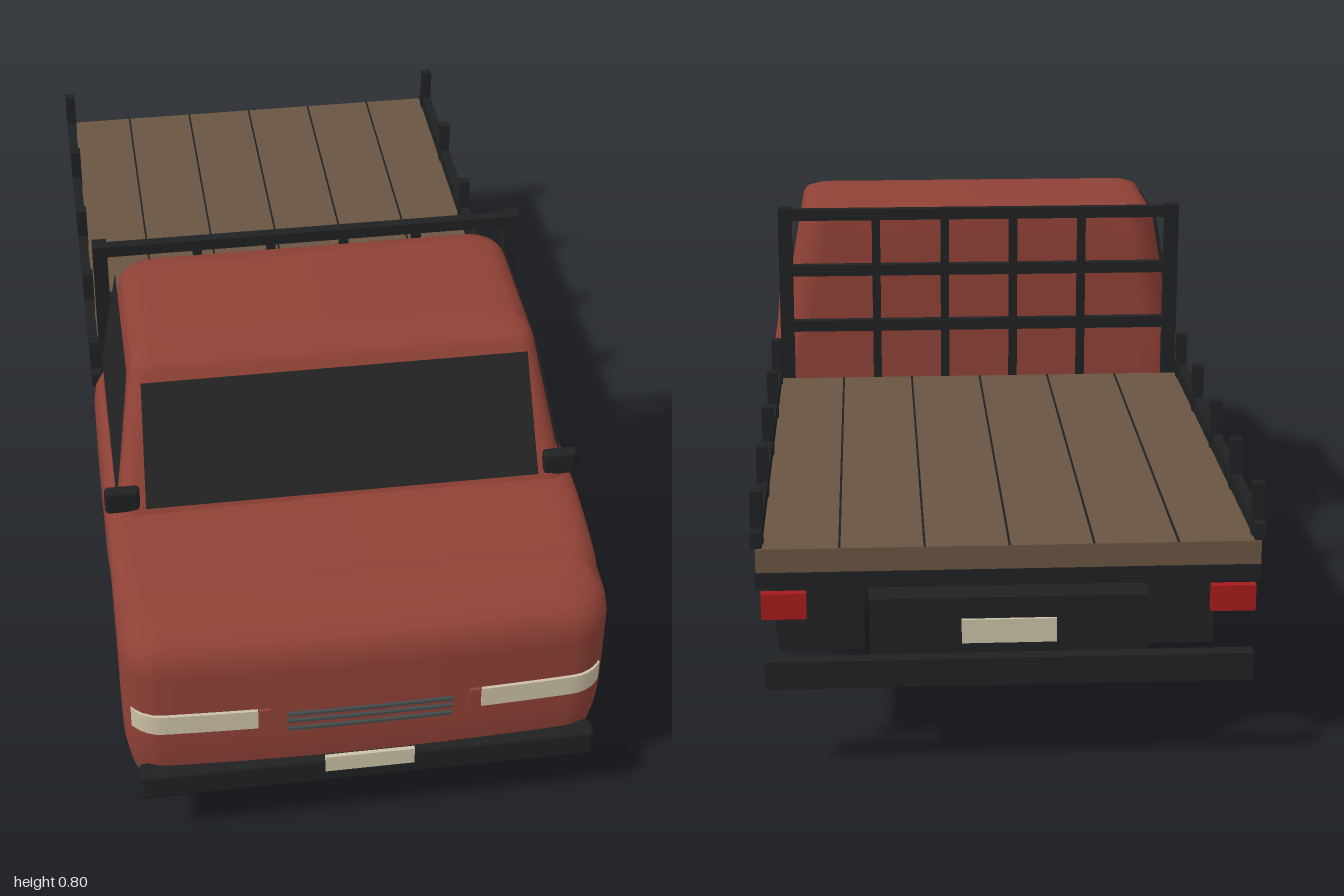
import * as THREE from 'three';
import { RoundedBoxGeometry } from 'three/addons/geometries/RoundedBoxGeometry.js';

const mat = (name, color, side = THREE.FrontSide) => {
  const m = new THREE.MeshStandardMaterial({ color, side });
  m.name = name;
  return m;
};

const ARCH = { z: 0.64, y: 0.165, r: 0.19 };
const BOW = 0.015;
const lerp = THREE.MathUtils.lerp;
const clamp = THREE.MathUtils.clamp;

// Columns along the flank, bunched so the wheel arch is cut cleanly
const columns = [];
for (let i = 0; i <= 12; i++) columns.push(lerp(0.15, 0.4495, i / 12));
for (let i = 0; i <= 18; i++) columns.push(ARCH.z - (ARCH.r - 0.0003) * Math.cos((Math.PI * i) / 18));
columns.push(0.8305, 0.85, 0.88, 0.92);

// Rounded plan outline: back centre, left flank, front centre, right flank
function planRing({ w, zb, zf, rb, rf, bow = 0 }) {
  rb = Math.min(rb, w);
  rf = Math.min(rf, w);
  const half = [];
  for (let i = 0; i < 4; i++) half.push([((w - rb) * i) / 4, zb]);
  for (let i = 0; i < 6; i++) {
    const a = (Math.PI / 2) * (i / 6);
    half.push([w - rb + rb * Math.sin(a), zb + rb - rb * Math.cos(a)]);
  }
  for (const z of columns) half.push([w, clamp(z, zb + rb, zf - rf)]);
  for (let i = 1; i <= 6; i++) {
    const a = (Math.PI / 2) * (i / 6);
    half.push([w - rf + rf * Math.cos(a), zf - rf + rf * Math.sin(a)]);
  }
  for (let i = 1; i <= 6; i++) half.push([(w - rf) * (1 - i / 6), zf]);
  const bowed = half.map(([x, z]) => [x, z - (w > 0 ? bow * (x / w) ** 2 * clamp((z - 0.85) / 0.1, 0, 1) : 0)]);
  const mirrored = bowed.slice(1, -1).reverse().map(([x, z]) => [-x, z]);
  return [...bowed, ...mirrored];
}

// Skin stacked rings; isSecond picks the faces given the second material
function loft(rows, heightAt, isSecond = () => false) {
  const pos = [], first = [], second = [];
  let n = 0;
  for (const row of rows) {
    const ring = planRing(row);
    n = ring.length;
    for (const [x, z] of ring) pos.push(x, heightAt(row, z), z);
  }
  for (let i = 0; i < rows.length - 1; i++) {
    for (let j = 0; j < n; j++) {
      const k = (j + 1) % n;
      const a = i * n + j, b = i * n + k, c = a + n, d = b + n;
      const y = (pos[a * 3 + 1] + pos[d * 3 + 1]) / 2;
      const z = (pos[a * 3 + 2] + pos[d * 3 + 2]) / 2;
      (isSecond(y, z) ? second : first).push(a, c, d, a, d, b);
    }
  }
  const g = new THREE.BufferGeometry();
  g.setAttribute('position', new THREE.Float32BufferAttribute(pos, 3));
  g.setIndex([...first, ...second]);
  g.addGroup(0, first.length, 0);
  g.addGroup(first.length, second.length, 1);
  g.computeVertexNormals();
  return g;
}

export function createModel() {
  const root = new THREE.Group();
  root.name = 'flatbedTruck';
  const paint = mat('red paint', 0x8f4136, THREE.DoubleSide);
  const dirt = mat('dried mud', 0x66543c, THREE.DoubleSide);
  const wood = mat('wood', 0x6a5541);
  const dark = mat('dark metal', 0x1f2122);
  const glass = mat('dark glass', 0x242424, THREE.DoubleSide);
  const rubber = mat('rubber', 0x222222);
  const steel = mat('wheel steel', 0x565656);
  const cream = mat('cream', 0xcbc1a6);
  const tail = mat('tail light red', 0xa51a1a);
  const trim = mat('grille grey', 0x444a4a);

  const add = (name, geo, material, parent = root) => {
    const m = new THREE.Mesh(geo, material);
    m.name = name;
    parent.add(m);
    return m;
  };
  // Box given by its limits
  const box = (name, material, x0, x1, y0, y1, z0, z1, round = 0) => {
    const s = [Math.abs(x1 - x0), y1 - y0, Math.abs(z1 - z0)];
    const g = round ? new RoundedBoxGeometry(...s, 2, round) : new THREE.BoxGeometry(...s);
    g.translate((x0 + x1) / 2, (y0 + y1) / 2, (z0 + z1) / 2);
    return add(name, g, material);
  };

  // Lower cab body with hood and wheel arches
  const rows = [];
  const plan = { zb: 0.14, rb: 0.06, rf: 0.07, bow: BOW };
  for (let i = 0; i <= 14; i++) {
    const v = (i / 14) * 0.84, low = (1 - Math.min(v / 0.4, 1)) ** 2;
    rows.push({ ...plan, v, w: 0.456 - 0.021 * low, zf: 0.987 - 0.02 * low });
  }
  for (const [v, w, zf] of [[0.91, 0.452, 0.98], [0.96, 0.441, 0.965], [0.99, 0.424, 0.94], [1, 0.4, 0.915], [1.015, 0.2, 0.9], [1.02, 0, 0.89]])
    rows.push({ ...plan, v, w, zf });
  const sill = (z) => {
    const d = Math.abs(z - ARCH.z);
    return d < ARCH.r ? ARCH.y + Math.sqrt(ARCH.r ** 2 - d * d) : 0.12;
  };
  const shoulder = (z) => 0.505 + 0.027 * clamp((0.97 - z) / 0.3, 0, 1);
  const mudLine = (z) => (z > 0.94 ? 0 : 0.185 + 0.02 * Math.sin(z * 31) + 0.14 * Math.max(0, 1 - Math.abs(z - 0.47) / 0.14));
  add('cabBody', loft(rows, ({ v }, z) => lerp(sill(z), shoulder(z), v), (y, z) => y < mudLine(z)), [paint, dirt]);

  // Upper cab and roof
  const upper = [[0.5, 0.44, 0.14, 0.66], [0.54, 0.43, 0.14, 0.637], [0.65, 0.4105, 0.14, 0.5725], [0.762, 0.3906, 0.142, 0.507],
    [0.778, 0.381, 0.15, 0.49], [0.788, 0.36, 0.165, 0.465], [0.792, 0.32, 0.19, 0.43], [0.795, 0, 0.2, 0.42]]
    .map(([y, w, zb, zf]) => ({ y, w, zb, zf, rb: 0.06, rf: 0.03 }));
  add('upperCab', loft(upper, ({ y }) => y), [paint, paint]);

  // Glass faces laid on the slanted cab walls
  const pane = (name, pts, place) => {
    const g = new THREE.ShapeGeometry(new THREE.Shape(pts.map((p) => new THREE.Vector2(...p))));
    const p = g.attributes.position;
    for (let i = 0; i < p.count; i++) p.setXYZ(i, ...place(p.getX(i), p.getY(i)));
    g.computeVertexNormals();
    add(name, g, glass);
  };
  pane('windscreen', [[-0.38, 0.545], [0.38, 0.545], [0.372, 0.753], [-0.372, 0.753]],
    (x, y) => [x, y, 0.642 - (y - 0.54) * 0.583]);
  for (const s of [-1, 1])
    pane('sideWindow', [[0.165, 0.548], [0.612, 0.548], [0.575, 0.62], [0.505, 0.735], [0.485, 0.758], [0.165, 0.76]],
      (z, y) => [s * (0.435 - (y - 0.54) * 0.178), y, z]);

  // Dark underbody with the arch tunnel
  const under = new THREE.Shape();
  under.moveTo(0.175, 0.117);
  under.lineTo(0.45, 0.117);
  under.lineTo(0.45, ARCH.y);
  under.absarc(ARCH.z, ARCH.y, ARCH.r, Math.PI, 0, true);
  under.lineTo(0.83, 0.117);
  under.lineTo(0.9, 0.117);
  under.lineTo(0.9, 0.42);
  under.lineTo(0.175, 0.42);
  const underGeo = new THREE.ExtrudeGeometry(under, { depth: 0.83, bevelEnabled: false, curveSegments: 18 });
  underGeo.translate(0, 0, -0.415).rotateY(-Math.PI / 2);
  add('underbody', underGeo, dark);
  box('frontValance', dark, -0.41, 0.41, 0.11, 0.135, 0.88, 0.955, 0.008);

  // Thin strips bent to the curved nose
  const noseStrip = (name, material, x0, x1, y0, y1) => {
    const g = new THREE.BoxGeometry(x1 - x0, y1 - y0, 0.008, 16, 1, 1);
    g.translate((x0 + x1) / 2, (y0 + y1) / 2, 0);
    const p = g.attributes.position, w = 0.456, r = 0.07;
    for (let i = 0; i < p.count; i++) {
      const x = Math.abs(p.getX(i)), d = Math.max(0, x - (w - r));
      p.setZ(i, p.getZ(i) + 0.987 - BOW * (x / w) ** 2 - (r - Math.sqrt(r * r - d * d)) + 0.002);
    }
    g.computeVertexNormals();
    add(name, g, material);
  };
  for (const s of [-1, 1]) {
    const span = (a, b) => (s > 0 ? [a, b] : [-b, -a]);
    noseStrip('headlight', cream, ...span(0.21, 0.442), 0.293, 0.338);
    noseStrip('indicator', paint, ...span(0.186, 0.208), 0.293, 0.338);
  }
  for (const y of [0.283, 0.303, 0.321]) noseStrip('grilleBar', trim, -0.155, 0.155, y - 0.003, y + 0.003);

  box('frontBumper', dark, -0.435, 0.435, 0.132, 0.195, 0.955, 0.996, 0.01);
  box('frontPlate', cream, -0.085, 0.085, 0.167, 0.205, 0.992, 1.0);

  // Chassis and rear end
  box('chassis', dark, -0.25, 0.25, 0.18, 0.32, -0.96, 0.18);
  box('rearPlate', cream, -0.085, 0.085, 0.235, 0.28, -0.966, -0.96);
  box('rearBumper', dark, -0.435, 0.435, 0.168, 0.22, -1.0, -0.972);
  for (const s of [-1, 1]) {
    box('bumperBracket', dark, s * 0.15, s * 0.18, 0.185, 0.21, -0.975, -0.95);
    box('tailLight', tail, s * 0.36, s * 0.44, 0.29, 0.338, -0.972, -0.955);
    box('mudFlap', rubber, s * 0.26, s * 0.43, 0.06, 0.345, -0.578, -0.572);
    box('mirror', dark, s * 0.39, s * 0.457, 0.535, 0.588, 0.612, 0.636, 0.008);
  }

  // Load bed: frame, planks and seams
  box('bedFrame', dark, -0.45, 0.45, 0.343, 0.376, -0.96, 0.095);
  box('bedPlanks', wood, -0.448, 0.448, 0.376, 0.42, -0.965, 0.095);
  for (let i = -2; i <= 2; i++) box('plankSeam', dark, i * 0.15 - 0.002, i * 0.15 + 0.002, 0.418, 0.4215, -0.964, 0.094);
  for (const s of [-1, 1]) {
    box('sideRail', dark, s * 0.436, s * 0.456, 0.42, 0.45, -0.962, 0.095);
    for (const z of [0.062, -0.185, -0.432, -0.68, -0.928])
      box('stake', dark, s * 0.434, s * 0.456, 0.42, 0.518, z - 0.011, z + 0.011);
  }

  // Headboard rack
  for (const s of [-1, 1]) box('headboardPost', dark, s * 0.408, s * 0.437, 0.376, 0.8, 0.1, 0.132);
  for (const y of [0.784, 0.66, 0.535]) box('headboardRail', dark, -0.41, 0.41, y - 0.012, y + 0.012, 0.106, 0.126);
  for (const x of [-0.225, -0.075, 0.075, 0.225]) box('headboardBar', dark, x - 0.009, x + 0.009, 0.376, 0.784, 0.108, 0.124);

  // Wheels, outer face at x = 0.44
  const wheel = (s, z, width) => {
    const g = new THREE.Group();
    g.name = z > 0 ? 'frontWheel' : 'rearWheel';
    const h = width / 2;
    const profile = [[0.1, -h + 0.03], [0.102, -h], [0.145, -h], [0.158, -h + 0.012], [0.16, -h + 0.03],
      [0.16, h - 0.03], [0.158, h - 0.012], [0.145, h], [0.102, h], [0.098, h - 0.02]];
    add('tyre', new THREE.LatheGeometry(profile.map((p) => new THREE.Vector2(...p)), 20), rubber, g);
    add('rim', new THREE.CylinderGeometry(0.1, 0.1, width - 0.03, 20), steel, g);
    add('hub', new THREE.CylinderGeometry(0.03, 0.03, 0.02, 12), cream, g).position.y = h - 0.012;
    g.rotation.z = (-s * Math.PI) / 2;
    g.position.set(s * (0.44 - h), 0.163, z);
    root.add(g);
  };
  for (const s of [-1, 1]) {
    wheel(s, 0.64, 0.205);
    wheel(s, -0.36, 0.205);
  }
  for (const z of [0.64, -0.36]) add('axle', new THREE.CylinderGeometry(0.02, 0.02, 0.6, 10).rotateZ(Math.PI / 2).translate(0, 0.163, z), dark);

  return root;
}
